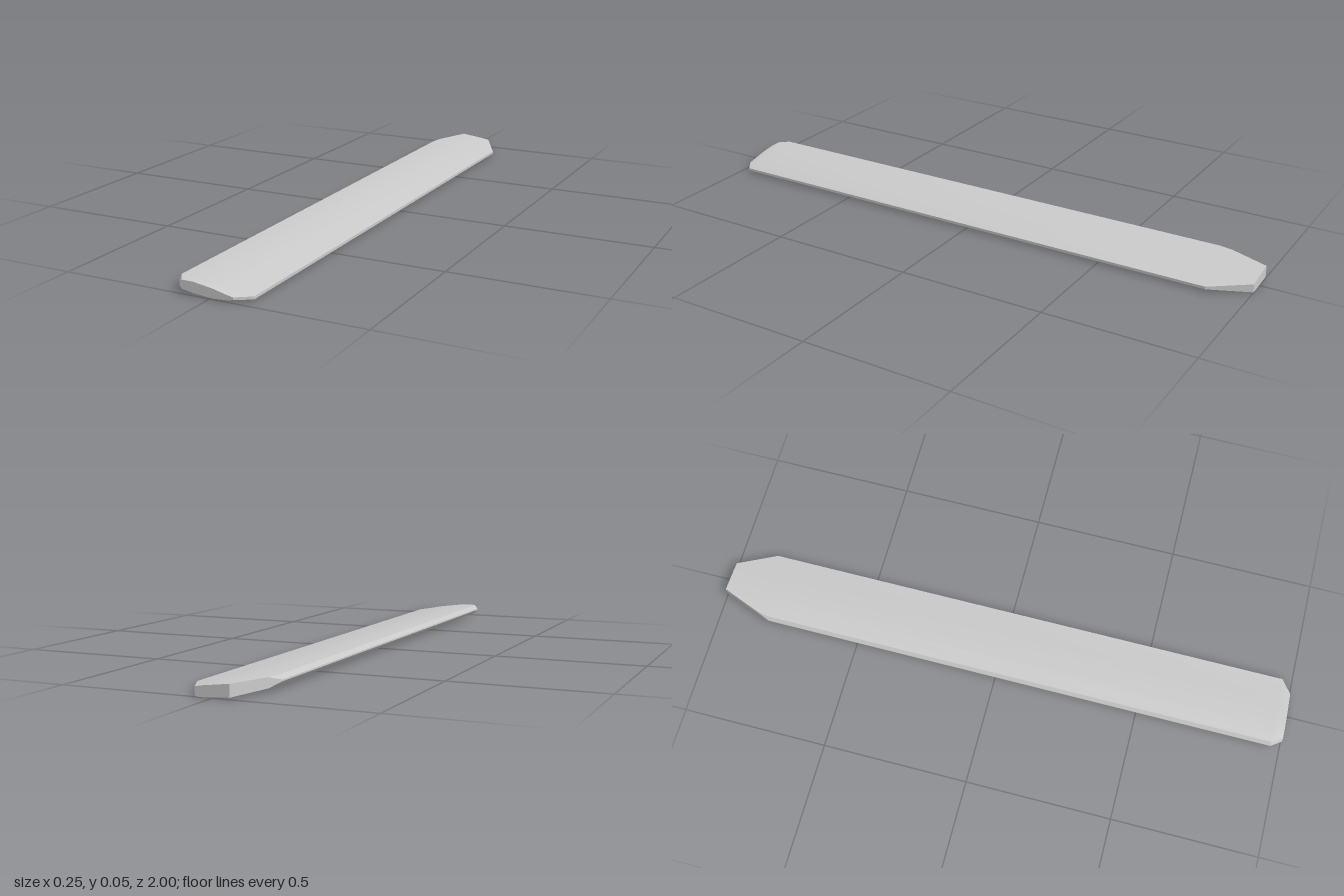
import * as THREE from 'three';
import { toCreasedNormals } from 'three/addons/utils/BufferGeometryUtils.js';

// Airfoil section: upper and lower heights at each x
const XS = [-0.125, -0.115, -0.06, 0.03, 0.1, 0.125];
const TOP = [0.031, 0.045, 0.045, 0.034, 0.021, 0.017];
const BOTTOM = [0.026, 0.014, 0.006, 0, 0.004, 0.008];

function heightAt(table, x) {
  let i = 0;
  while (i < XS.length - 2 && x > XS[i + 1]) i++;
  return THREE.MathUtils.lerp(table[i], table[i + 1], (x - XS[i]) / (XS[i + 1] - XS[i]));
}

// Closed ring: upper side left to right, then lower side back again
function ring(z, place) {
  const upper = XS.map((x, i) => place(x, TOP, i, z));
  const lower = XS.map((x, i) => place(x, BOTTOM, i, z)).reverse();
  return [...upper, ...lower];
}

// Section trimmed by an upright cut at each side
const cutRing = (z, left, right) => ring(z, (x, table) => {
  const cx = THREE.MathUtils.clamp(x, left, right);
  return new THREE.Vector3(cx, heightAt(table, cx), z);
});

// Whole section narrowed and slightly thinned
const narrowRing = (z, left, right) => ring(z, (x, table, i) => new THREE.Vector3(
  THREE.MathUtils.mapLinear(x, XS[0], XS[5], left, right),
  0.0235 + (table[i] - 0.0235) * 0.88, z));

function loft(rings) {
  const positions = [];
  const triangle = (a, b, c) => {
    const area = b.clone().sub(a).cross(c.clone().sub(a)).length();
    if (area > 1e-9) positions.push(...a.toArray(), ...b.toArray(), ...c.toArray());
  };
  const n = rings[0].length;
  for (let k = 0; k < rings.length - 1; k++) {
    const a = rings[k], b = rings[k + 1];
    for (let i = 0; i < n; i++) {
      const j = (i + 1) % n;
      triangle(a[i], b[i], a[j]);
      triangle(b[i], b[j], a[j]);
    }
  }
  // End caps
  const back = rings[0], front = rings[rings.length - 1];
  for (let i = 1; i < n - 1; i++) {
    triangle(back[0], back[i], back[i + 1]);
    triangle(front[0], front[i + 1], front[i]);
  }
  const geometry = new THREE.BufferGeometry();
  geometry.setAttribute('position', new THREE.Float32BufferAttribute(positions, 3));
  return toCreasedNormals(geometry, 0.4);
}

export function createModel() {
  const group = new THREE.Group();
  group.name = 'bladeModel';
  // Long blade: tapered back tip, straight body, small front chamfers
  const blade = new THREE.Mesh(
    loft([
      cutRing(-1, -0.055, 0.055),
      cutRing(-0.87, -0.106, 0.125),
      cutRing(-0.82, -0.125, 0.125),
      cutRing(0.965, -0.125, 0.125),
      narrowRing(1, -0.1, 0.078),
    ]),
    new THREE.MeshStandardMaterial({ color: 0xcccccc }),
  );
  blade.name = 'blade';
  group.add(blade);
  return group;
}
